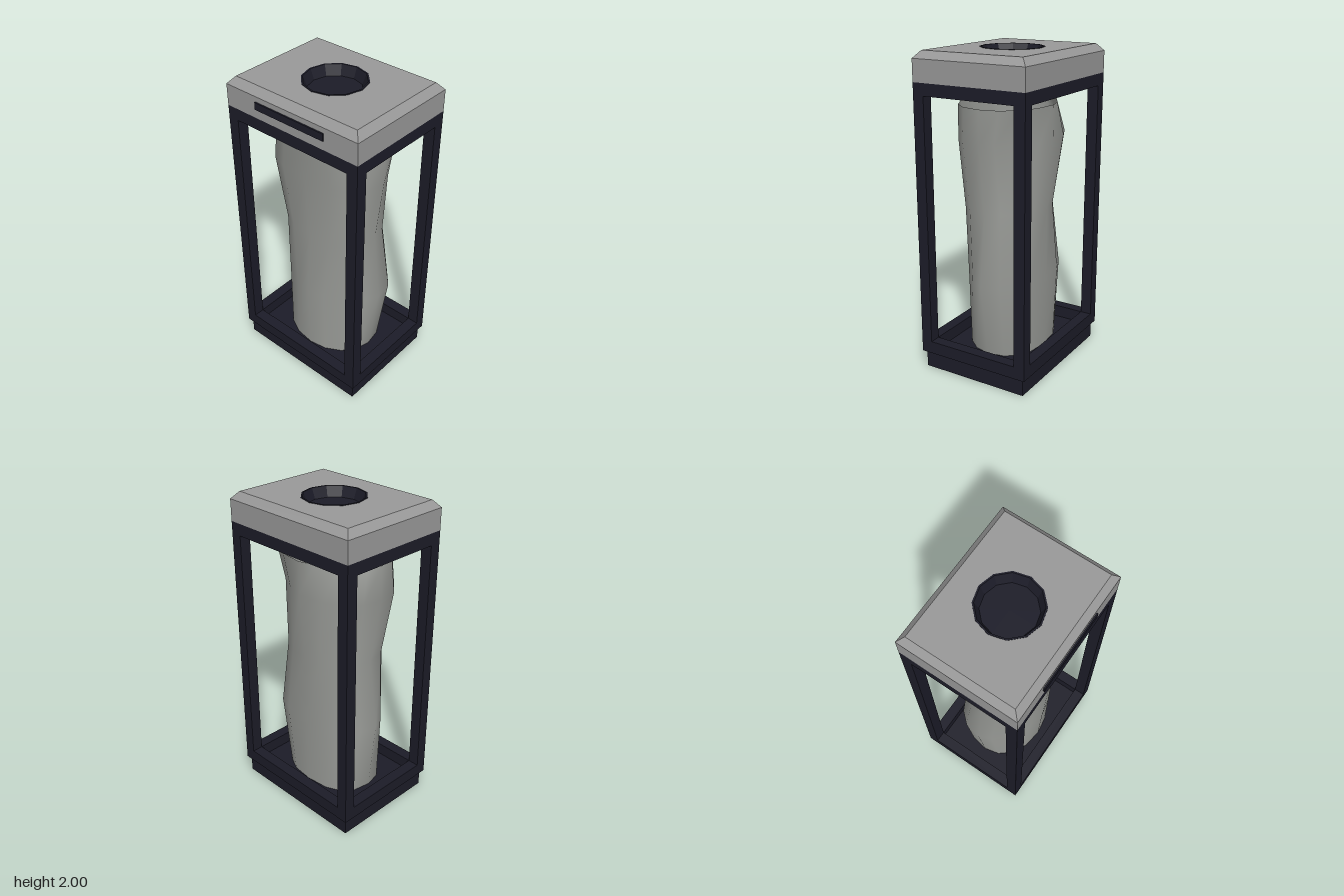
import * as THREE from 'three';

const CZ = -0.004; // the slot plate at the front shifts the body slightly back
const HX = 0.48, HZ = 0.375;

function mat(name, color) {
  const m = new THREE.MeshStandardMaterial({ color, side: THREE.DoubleSide });
  m.name = name;
  return m;
}

// Flat-sided band between rectangles given as [halfX, halfZ, y], bottom to top
function rectBand(levels) {
  const pos = [];
  const corner = ([hx, hz, y], i) => [[hx, y, hz], [hx, y, -hz], [-hx, y, -hz], [-hx, y, hz]][i % 4];
  for (let l = 0; l < levels.length - 1; l++) {
    for (let i = 0; i < 4; i++) {
      const a = corner(levels[l], i), b = corner(levels[l], i + 1);
      const c = corner(levels[l + 1], i + 1), d = corner(levels[l + 1], i);
      pos.push(...a, ...b, ...c, ...a, ...c, ...d);
    }
  }
  const g = new THREE.BufferGeometry();
  g.setAttribute('position', new THREE.Float32BufferAttribute(pos, 3));
  g.computeVertexNormals();
  return g;
}

// Rectangle with a twelve-sided hole
function holedRect(hx, hz, r) {
  const s = new THREE.Shape([[-hx, -hz], [hx, -hz], [hx, hz], [-hx, hz]].map(p => new THREE.Vector2(...p)));
  const hole = [];
  for (let i = 0; i < 12; i++) {
    const a = -i * Math.PI / 6;
    hole.push(new THREE.Vector2(Math.cos(a) * r, Math.sin(a) * r));
  }
  s.holes.push(new THREE.Path(hole));
  return new THREE.ShapeGeometry(s);
}

// Sagging bag lofted through uneven rounded sections
function bagGeometry() {
  // y, extents (right, left, front, back), roundness of each quadrant
  // (front right, front left, back left, back right as drawn; lower is squarer)
  const rows = [
    [0.115, 0.3, 0.32, 0.25, 0.24, [1, 0.94, 0.79, 0.8]],
    [0.59, 0.37, 0.37, 0.265, 0.25, [1.25, 1.24, 0.8, 0.72]],
    [1.04, 0.32, 0.31, 0.24, 0.25, [0.76, 0.8, 1.1, 0.95]],
    [1.47, 0.37, 0.385, 0.262, 0.285, [0.76, 0.73, 0.87, 1.3]],
    [1.68, 0.37, 0.378, 0.285, 0.285, [0.89, 0.94, 1.39, 0.91]],
  ];
  const N = 16, pos = [], idx = [];
  for (const [y, r, l, f, b, round] of rows) {
    for (let i = 0; i < N; i++) {
      const a = i / N * Math.PI * 2, c = Math.cos(a), s = Math.sin(a);
      const p = round[Math.floor(i * 4 / N)];
      const x = Math.sign(c) * Math.pow(Math.abs(c), p) * (c < 0 ? l : r);
      const z = Math.sign(s) * Math.pow(Math.abs(s), p) * (s < 0 ? b : f);
      pos.push(x, y, z);
    }
  }
  for (let j = 0; j < rows.length - 1; j++) {
    for (let i = 0; i < N; i++) {
      const a = j * N + i, b = j * N + (i + 1) % N;
      idx.push(a, a + N, b, b, a + N, b + N);
    }
  }
  const g = new THREE.BufferGeometry();
  g.setAttribute('position', new THREE.Float32BufferAttribute(pos, 3));
  g.setIndex(idx);
  g.computeVertexNormals();
  return g;
}

export function createModel() {
  const model = new THREE.Group();
  model.name = 'litterBin';
  const dark = mat('darkMetal', 0x1c1c28);
  const grey = mat('greyLid', 0x999999);
  const bagGrey = mat('bagGrey', 0x989a96);

  const body = new THREE.Group();
  body.name = 'body';
  body.position.z = CZ;
  model.add(body);

  const add = (name, geo, material, parent = body) => {
    const m = new THREE.Mesh(geo, material);
    m.name = name;
    parent.add(m);
    return m;
  };
  const box = (name, w, h, d, x, y, z, parent) => {
    const m = add(name, new THREE.BoxGeometry(w, h, d), dark, parent);
    m.position.set(x, y, z);
  };
  const flat = (name, geo, material, y) => {
    const m = add(name, geo, material);
    m.rotation.x = -Math.PI / 2;
    m.position.y = y;
  };

  // Hollow plinth, open below, with the bin floor on top
  add('baseSides', rectBand([[0.46, 0.355, 0], [0.46, 0.355, 0.112]]), dark);
  flat('floor', new THREE.PlaneGeometry(0.92, 0.71), dark, 0.112);

  // Open frame: corner posts plus top and bottom rails
  const T = 0.072;
  for (const sx of [-1, 1]) {
    for (const sz of [-1, 1]) {
      box('post', T, 1.71, T, sx * (HX - T / 2), 0.965, sz * (HZ - T / 2));
    }
  }
  for (const [y, h] of [[0.15, 0.08], [1.7825, 0.075]]) {
    for (const s of [-1, 1]) {
      box('longRail', 2 * (HX - T), h, T, 0, y, s * (HZ - T / 2));
      box('sideRail', T, h, 2 * (HZ - T), s * (HX - T / 2), y, 0);
    }
  }

  // Bag
  add('bag', bagGeometry(), bagGrey);

  // Hollow bevelled lid with a round opening
  add('lidSides', rectBand([[HX, HZ, 1.82], [HX, HZ, 1.955], [HX - 0.04, HZ - 0.04, 2]]), grey);
  flat('lidTop', holedRect(HX - 0.04, HZ - 0.04, 0.19), grey, 2);

  // Rim and recessed well of the opening
  const rimProfile = [[0.195, 1.94], [0.195, 2.003], [0.185, 2.003], [0.16, 1.94], [0, 1.94]];
  const rim = new THREE.LatheGeometry(rimProfile.map(p => new THREE.Vector2(...p)), 12).toNonIndexed();
  rim.computeVertexNormals();
  add('openingRim', rim, dark);

  // Front slot
  box('slotPlate', 0.5, 0.045, 0.009, 0, 1.9, 0.3755, model);

  return model;
}
